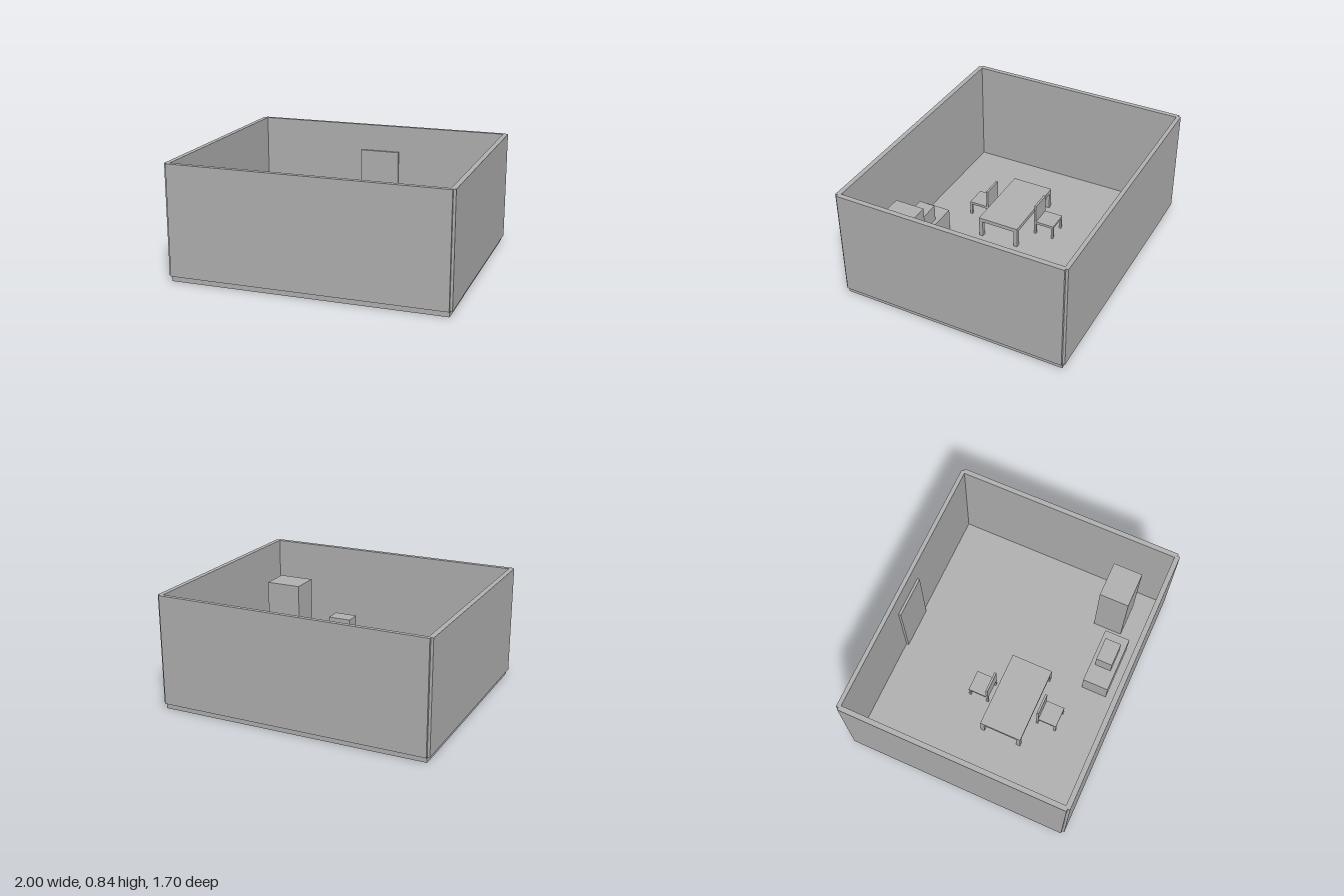
import * as THREE from 'three';

const FLOOR = 0.04;

export function createModel() {
  const room = new THREE.Group();
  room.name = 'room';
  const plaster = new THREE.MeshStandardMaterial({ color: 0xb3b3b3 });
  plaster.name = 'plain grey';

  // Box given by its limits on each axis
  const box = (parent, name, [x0, x1], [y0, y1], [z0, z1]) => {
    const mesh = new THREE.Mesh(new THREE.BoxGeometry(x1 - x0, y1 - y0, z1 - z0), plaster);
    mesh.position.set((x0 + x1) / 2, (y0 + y1) / 2, (z0 + z1) / 2);
    mesh.name = name;
    parent.add(mesh);
    return mesh;
  };

  // Four square legs set into the corners of a rectangle
  const legs = (parent, name, [x0, x1], top, [z0, z1], t) => {
    for (const x of [x0, x1 - t])
      for (const z of [z0, z1 - t]) box(parent, name, [x, x + t], [FLOOR, top], [z, z + t]);
  };

  // Floor slab and the four walls resting on its edge
  box(room, 'floor', [-0.982, 0.982], [0, FLOOR], [-0.83, 0.83]);
  const height = [FLOOR, 0.838];
  box(room, 'frontWall', [-0.982, 0.982], height, [0.812, 0.848]);
  box(room, 'backWall', [-0.982, 0.982], height, [-0.848, -0.818]);
  box(room, 'leftWall', [0.964, 1], height, [-0.83, 0.83]);
  box(room, 'rightWall', [-1, -0.964], height, [-0.83, 0.83]);

  // Door panel on the back wall
  box(room, 'door', [-0.155, 0.15], [FLOOR, 0.635], [-0.818, -0.8]);

  // Tall cabinet, and a low stand carrying a small box
  box(room, 'cabinet', [0.588, 0.857], [FLOOR, 0.602], [0.422, 0.642]);
  box(room, 'stand', [0.075, 0.503], [FLOOR, 0.212], [0.537, 0.73]);
  box(room, 'standBox', [0.22, 0.398], [0.212, 0.336], [0.57, 0.693]);

  // Table
  const table = new THREE.Group();
  table.name = 'table';
  const tx = [-0.535, 0.043], tz = [-0.017, 0.3];
  box(table, 'tableTop', tx, [0.17, 0.2], tz);
  legs(table, 'tableLeg', tx, 0.17, tz, 0.03);
  room.add(table);

  // Two chairs mirrored about the table, backrests on the table side
  for (const side of [-1, 1]) {
    const chair = new THREE.Group();
    chair.name = side > 0 ? 'frontChair' : 'backChair';
    const span = (a, b) => [0.14 + side * a, 0.14 + side * b].sort((p, q) => p - q);
    const cx = [-0.322, -0.165], cz = span(0.195, 0.352);
    box(chair, 'seat', cx, [0.13, 0.15], cz);
    box(chair, 'backrest', cx, [0.15, 0.29], span(0.195, 0.211));
    legs(chair, 'chairLeg', cx, 0.13, cz, 0.016);
    room.add(chair);
  }
  return room;
}
